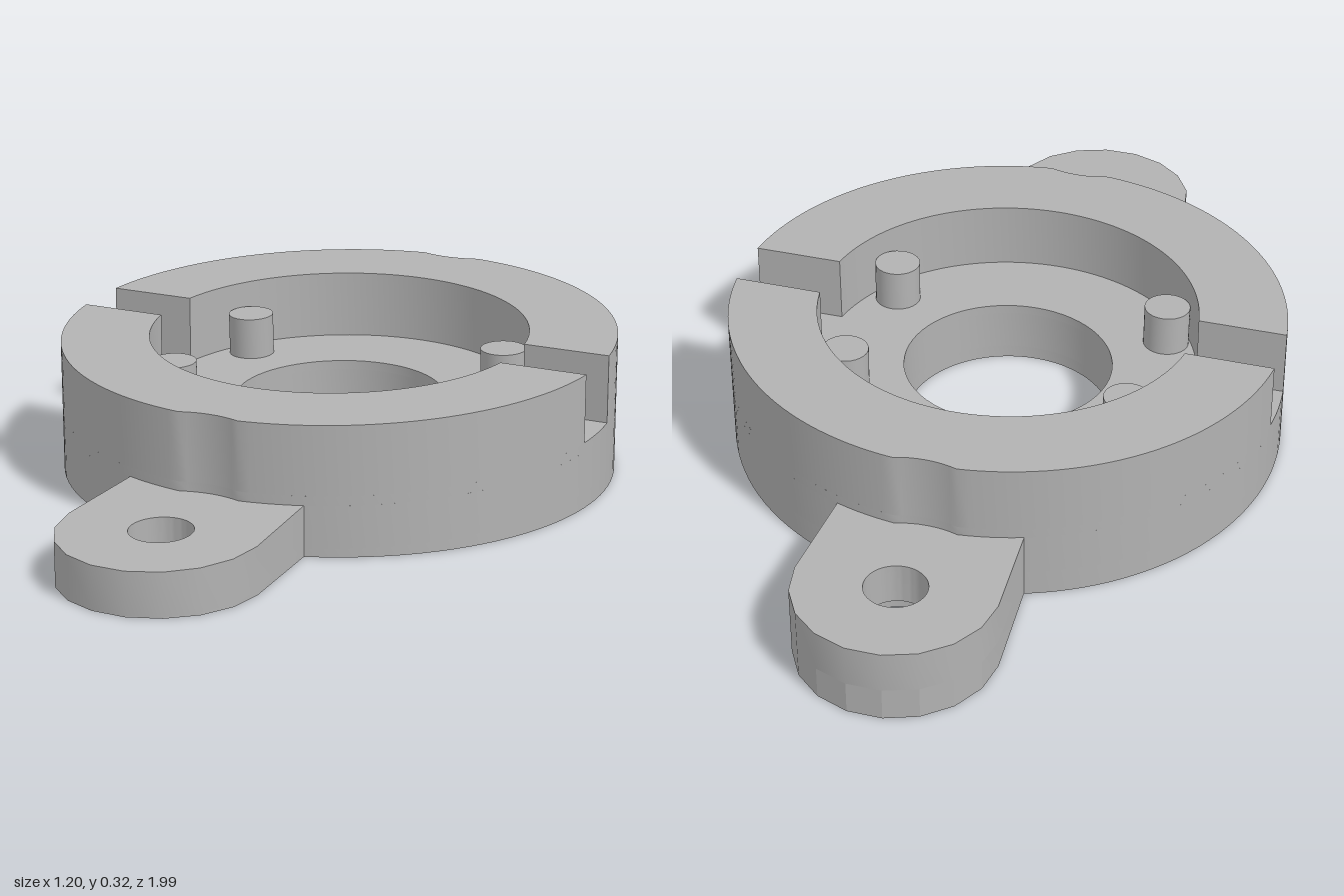
import * as THREE from 'three';
import { toCreasedNormals } from 'three/addons/utils/BufferGeometryUtils.js';

const SLOPE = Math.tan(THREE.MathUtils.degToRad(2));
const R = 0.6, INNER = 0.41, BORE = 0.227, TAB_Z = 0.79, TAB_R = 0.21;

// points along an arc
function arc(cx, cy, r, a0, a1, n) {
  const pts = [];
  for (let i = 0; i <= n; i++) {
    const a = a0 + (a1 - a0) * i / n;
    pts.push(new THREE.Vector2(cx + r * Math.cos(a), cy + r * Math.sin(a)));
  }
  return pts;
}

const circle = (y, r) => new THREE.Path(arc(0, y, r, 0, Math.PI * 2, 64).slice(0, -1));
const turned = (pts) => pts.map((p) => new THREE.Vector2(-p.x, -p.y));
const level = (h) => (z) => h - SLOPE * z;

// disc outline with two rounded tabs
function tabbedOutline() {
  const a = Math.acos(0.198 / R);
  const half = [...arc(0, 0, R, -a, a, 48), ...arc(0, TAB_Z, TAB_R, 0, Math.PI, 9)];
  return new THREE.Shape([...half, ...turned(half)]);
}

// outer edge of the ring from angle a0 to PI - a0, dented for the screw head
function dentedEdge(a0) {
  const r = 0.205;
  const y = (R * R + TAB_Z * TAB_Z - r * r) / (2 * TAB_Z);
  const x = Math.sqrt(R * R - y * y);
  const a = Math.atan2(y, x), b = Math.atan2(y - TAB_Z, x);
  return [
    ...arc(0, 0, R, a0, a, 32),
    ...arc(0, TAB_Z, r, b, -Math.PI - b, 8).slice(1, -1),
    ...arc(0, 0, R, Math.PI - a, Math.PI - a0, 32),
  ];
}

// upright slab whose lower and upper faces follow functions of z
function slab(shape, bottom, top, crease = 0.5) {
  const g = new THREE.ExtrudeGeometry(shape, { depth: 1, bevelEnabled: false });
  g.rotateX(-Math.PI / 2);
  const p = g.attributes.position;
  for (let i = 0; i < p.count; i++) {
    p.setY(i, (p.getY(i) > 0.5 ? top : bottom)(p.getZ(i)));
  }
  return toCreasedNormals(g, crease);
}

export function createModel() {
  const group = new THREE.Group();
  group.name = 'tiltedMount';
  const grey = new THREE.MeshStandardMaterial({ color: 0xb2b2b2 });
  grey.name = 'grey';
  const add = (name, geometry) => {
    const mesh = new THREE.Mesh(geometry, grey);
    mesh.name = name;
    group.add(mesh);
    return mesh;
  };

  // wedge on the ground, with the wide screw recesses
  const wedge = tabbedOutline();
  wedge.holes.push(circle(0, BORE), circle(TAB_Z, 0.12), circle(-TAB_Z, 0.12));
  add('wedgeBase', slab(wedge, () => 0, level(0.037), 0.3));

  // tilted plate with screw holes
  const plate = tabbedOutline();
  plate.holes.push(circle(0, BORE), circle(TAB_Z, 0.065), circle(-TAB_Z, 0.065));
  add('tabPlate', slab(plate, level(0.037), level(0.128)));

  // recess floor
  const edge = dentedEdge(0);
  const floor = new THREE.Shape([...edge.slice(0, -1), ...turned(edge).slice(0, -1)]);
  floor.holes.push(circle(0, BORE));
  add('recessFloor', slab(floor, level(0.128), level(0.148)));

  // two half rings, leaving a notch on each side
  const ao = Math.asin(0.065 / R), ai = Math.asin(0.065 / INNER);
  const half = [...dentedEdge(ao), ...arc(0, 0, INNER, Math.PI - ai, ai, 64)];
  add('backHalfRing', slab(new THREE.Shape(half), level(0.148), level(0.296)));
  add('frontHalfRing', slab(new THREE.Shape(turned(half)), level(0.148), level(0.296)));

  // four locating pegs
  for (const x of [-0.31, 0.31]) {
    for (const z of [-0.18, 0.18]) {
      const peg = add('peg', new THREE.CylinderGeometry(0.05, 0.05, 0.1, 32));
      peg.rotation.x = Math.atan(SLOPE);
      peg.position.set(x, level(0.19)(z), z);
    }
  }
  return group;
}
